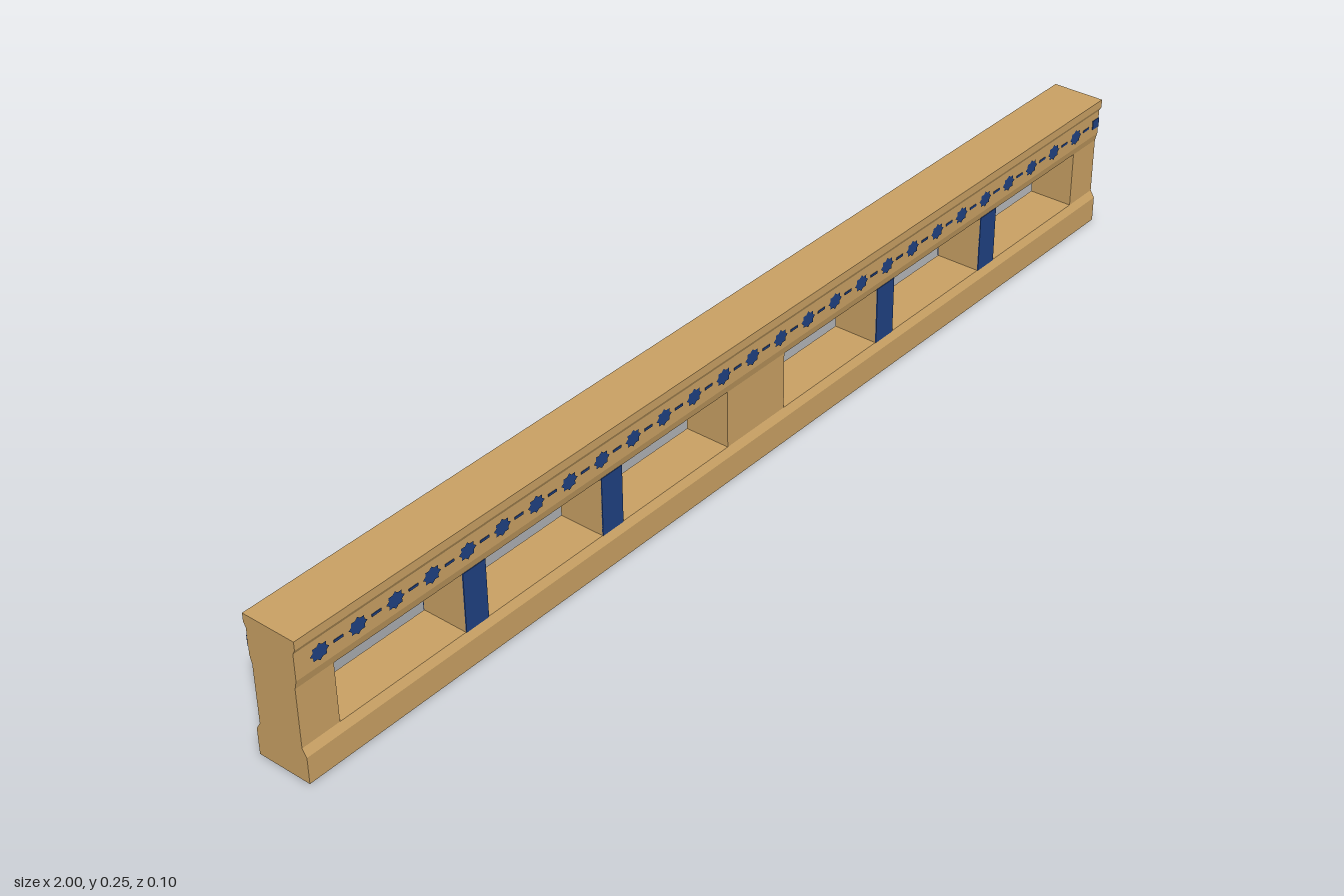
import * as THREE from 'three';

const wood = new THREE.MeshStandardMaterial({ color: 0xc8a063 });
wood.name = 'warm wood';
const blue = new THREE.MeshStandardMaterial({ color: 0x1f4080 });
blue.name = 'navy paint';

// Half profile [half depth, y] mirrored and extruded along x
function rail(name, half) {
  const pts = [...half, ...half.map(([z, y]) => [-z, y]).reverse()];
  const shape = new THREE.Shape(pts.map(([z, y]) => new THREE.Vector2(z, y)));
  const geo = new THREE.ExtrudeGeometry(shape, { depth: 2, bevelEnabled: false });
  geo.translate(0, 0, -1).rotateY(Math.PI / 2);
  const mesh = new THREE.Mesh(geo, wood);
  mesh.name = name;
  return mesh;
}

function box(name, mat, x, y, z, w, h, d) {
  const mesh = new THREE.Mesh(new THREE.BoxGeometry(w, h, d), mat);
  mesh.name = name;
  mesh.position.set(x, y, z);
  return mesh;
}

// Small eight-lobed flower outline, wider than tall
function flowerShape() {
  const pts = [];
  for (let i = 0; i < 16; i++) {
    const a = (i / 16) * Math.PI * 2;
    const r = i % 2 ? 0.75 : 1;
    pts.push(new THREE.Vector2(Math.cos(a) * r * 0.018, Math.sin(a) * r * 0.015));
  }
  return new THREE.Shape(pts);
}

// Painted faces of one side
function paintedSide(name) {
  const side = new THREE.Group();
  side.name = name;
  const flower = new THREE.ShapeGeometry(flowerShape());
  const step = 0.0722;
  for (let i = 0; i < 27; i++) {
    const x = -0.955 + i * step;
    const f = new THREE.Mesh(flower, blue);
    f.name = 'flowerMotif';
    f.position.set(x, 0.204, 0.0472);
    side.add(f, box('motifDash', blue, x + step / 2, 0.204, 0.0465, 0.018, 0.004, 0.0012));
  }
  // Last motif is cut off by the end of the rail
  side.add(box('cutMotif', blue, 0.99, 0.204, 0.0465, 0.02, 0.018, 0.0012));
  for (const x of [-0.652, -0.352, 0.348, 0.652]) {
    side.add(box('postPaint', blue, x, 0.113, 0.0425, 0.047, 0.106, 0.002));
  }
  return side;
}

export function createModel() {
  const model = new THREE.Group();
  model.name = 'balustrade';

  // Moulded rails
  model.add(
    rail('bottomRail', [[0.05, 0], [0.05, 0.047], [0.042, 0.06]]),
    rail('topRail', [[0.042, 0.165], [0.0458, 0.18], [0.0458, 0.227], [0.05, 0.235], [0.05, 0.25]])
  );

  // Wide end and centre posts, narrow posts between
  const posts = [
    [-0.964, 0.072], [0.964, 0.072], [0, 0.145],
    [-0.652, 0.047], [-0.352, 0.047], [0.348, 0.047], [0.652, 0.047],
  ];
  for (const [x, w] of posts) model.add(box('post', wood, x, 0.1125, 0, w, 0.107, 0.084));

  // Painted decoration, turned half around for the back
  const back = paintedSide('backPaint');
  back.rotation.y = Math.PI;
  model.add(paintedSide('frontPaint'), back);
  return model;
}
